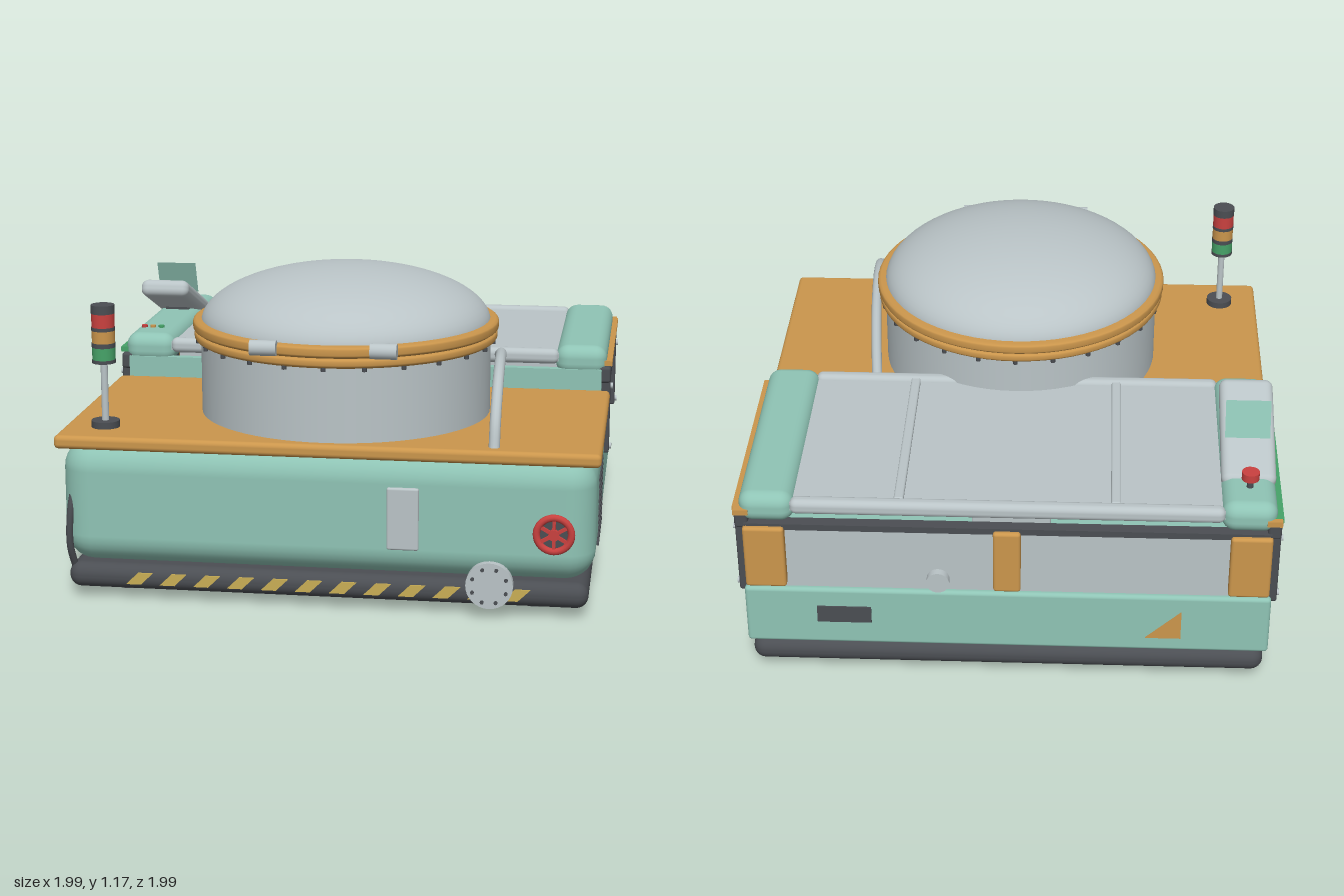
import * as THREE from 'three';
import { RoundedBoxGeometry } from 'three/addons/geometries/RoundedBoxGeometry.js';

export function createModel() {
  const root = new THREE.Group();
  root.name = 'processingMachine';
  const mat = (name, color, side = THREE.FrontSide) => {
    const m = new THREE.MeshStandardMaterial({ color, side });
    m.name = name;
    return m;
  };
  const teal = mat('teal', 0x8fc4b5, THREE.DoubleSide);
  const orange = mat('orange', 0xcb964c);
  const silver = mat('silver', 0xbac4c7);
  const dark = mat('darkGrey', 0x4b4e53);
  const red = mat('red', 0xc9413f);
  const green = mat('green', 0x46a368);
  const yellow = mat('yellow', 0xc9ae55);

  const add = (name, geo, material, x = 0, y = 0, z = 0, parent = root) => {
    const m = new THREE.Mesh(geo, material);
    m.name = name;
    m.position.set(x, y, z);
    parent.add(m);
    return m;
  };
  // Box given by its minimum and maximum corners, rounded if r > 0
  const box = (name, material, [x0, x1], [y0, y1], [z0, z1], r = 0) => {
    const s = [x1 - x0, y1 - y0, z1 - z0];
    const geo = r ? new RoundedBoxGeometry(...s, 4, r) : new THREE.BoxGeometry(...s);
    return add(name, geo, material, (x0 + x1) / 2, (y0 + y1) / 2, (z0 + z1) / 2);
  };
  const cyl = (name, material, r, h, x, y, z, axis = 'y', seg = 24) => {
    const geo = new THREE.CylinderGeometry(r, r, h, seg);
    if (axis === 'x') geo.rotateZ(Math.PI / 2);
    if (axis === 'z') geo.rotateX(Math.PI / 2);
    return add(name, geo, material, x, y, z);
  };
  const tube = (name, material, points, r) => add(name, new THREE.TubeGeometry(
    new THREE.CatmullRomCurve3(points.map(p => new THREE.Vector3(...p))), 48, r, 12), material);

  // Base and feet
  box('base', dark, [-0.95, 0.95], [0.035, 0.13], [-0.97, 0.95], 0.045);
  for (const x of [-0.757, 0.757])
    for (const z of [-0.785, 0.75]) cyl('foot', dark, 0.067, 0.04, x, 0.02, z);

  // Front housing with its worktop
  box('frontHousing', teal, [-0.97, 0.97], [0.13, 0.59], [-0.015, 0.96], 0.11);
  box('worktop', orange, [-0.985, 0.985], [0.565, 0.615], [-0.035, 0.965], 0.018);

  // Hazard stripes along the front of the base
  for (let i = 0; i < 12; i++) {
    const x = -0.73 + i * 0.125;
    const s = new THREE.Shape([[0, 0], [0.055, 0], [0.1, 0.044], [0.045, 0.044]].map(p => new THREE.Vector2(...p)));
    add('hazardStripe', new THREE.ExtrudeGeometry(s, { depth: 0.006, bevelEnabled: false }), yellow, x, 0.062, 0.947);
  }

  // Front fittings: access plate, handwheel, flange
  box('accessPlate', silver, [0.23, 0.345], [0.24, 0.47], [0.95, 0.972], 0.008);
  const wheel = new THREE.Group();
  wheel.name = 'handwheel';
  wheel.position.set(0.825, 0.32, 0.965);
  root.add(wheel);
  add('wheelRim', new THREE.TorusGeometry(0.062, 0.013, 10, 32), red, 0, 0, 0, wheel);
  add('wheelHub', new THREE.CylinderGeometry(0.02, 0.02, 0.03, 16).rotateX(Math.PI / 2), red, 0, 0, 0, wheel);
  add('wheelBack', new THREE.CylinderGeometry(0.055, 0.055, 0.02, 24).rotateX(Math.PI / 2), dark, 0, 0, -0.014, wheel);
  for (let i = 0; i < 3; i++)
    add('wheelSpoke', new THREE.BoxGeometry(0.12, 0.012, 0.012), red, 0, 0, 0.002, wheel).rotation.z = i * Math.PI / 3 + Math.PI / 6;
  cyl('flangeGasket', yellow, 0.078, 0.02, 0.6, 0.125, 0.945, 'z', 32);
  cyl('flange', silver, 0.085, 0.032, 0.6, 0.125, 0.967, 'z', 32);
  for (let i = 0; i < 8; i++) {
    const a = i * Math.PI / 4 + 0.39;
    cyl('flangeBolt', dark, 0.007, 0.008, 0.6 + 0.065 * Math.cos(a), 0.125 + 0.065 * Math.sin(a), 0.986, 'z', 8);
  }
  tube('drainCable', dark, [[-0.93, 0.1, 0.9], [-0.94, 0.2, 0.935], [-0.935, 0.33, 0.935], [-0.925, 0.43, 0.9]], 0.013);

  // Side louvres
  for (const s of [-1, 1])
    for (let i = 0; i < 10; i++)
      add('louvre', new THREE.BoxGeometry(0.014, 0.009, 0.35), dark, s * 0.968, 0.195 + i * 0.027, 0.475);

  // Drum, clamp ring and domed cover
  const cz = 0.383;
  cyl('drum', silver, 0.545, 0.31, 0, 0.755, cz, 'y', 64);
  const ring = (y0, y1, r) => {
    const c = 0.012;
    const p = [[0.52, y0], [r - c, y0], [r - 0.003, y0 + c / 2], [r, y0 + c], [r, y1 - c], [r - 0.003, y1 - c / 2], [r - c, y1], [0.52, y1]];
    add('clampRing', new THREE.LatheGeometry(p.map(q => new THREE.Vector2(...q)), 64), orange, 0, 0, cz);
  };
  ring(0.89, 0.927, 0.57);
  ring(0.927, 0.97, 0.575);
  add('domeCover', new THREE.SphereGeometry(0.545, 64, 20, 0, Math.PI * 2, 0, Math.PI / 2).scale(1, 0.395, 1), silver, 0, 0.95, cz);
  for (let i = 0; i < 24; i++) {
    const a = i * Math.PI / 12;
    cyl('ringBolt', dark, 0.009, 0.014, 0.556 * Math.cos(a), 0.885, cz + 0.556 * Math.sin(a), 'y', 8);
  }
  for (const x of [-0.215, 0.215]) cyl('coverHinge', silver, 0.028, 0.095, x, 0.957, 0.938, 'x');

  // Feed pipe from the worktop to the rear unit
  tube('feedPipe', silver, [[0.605, 0.6, 0.905], [0.605, 0.7, 0.865], [0.603, 0.81, 0.74], [0.597, 0.85, 0.58],
    [0.585, 0.835, 0.36], [0.565, 0.785, 0.12], [0.545, 0.735, -0.08]], 0.02);

  // Signal tower
  const tower = [['towerBase', dark, 0.052, 0.61, 0.64], ['towerPole', silver, 0.013, 0.63, 0.86], ['towerGreen', green, 0.042, 0.865, 0.915],
    ['towerSeat', dark, 0.043, 0.855, 0.868], ['towerBand', dark, 0.043, 0.913, 0.93], ['towerOrange', orange, 0.042, 0.93, 0.977],
    ['towerBand', dark, 0.043, 0.975, 0.988], ['towerRed', red, 0.042, 0.987, 1.04], ['towerCap', dark, 0.043, 1.038, 1.07]];
  for (const [n, m, r, y0, y1] of tower) cyl(n, m, r, y1 - y0, -0.83, (y0 + y1) / 2, 0.8);

  // Rear unit: lower housing, front wall, back panels and posts
  box('rearHousing', teal, [-0.965, 0.965], [0.13, 0.375], [-0.965, -0.05], 0.015);
  box('frontWall', teal, [-0.95, 0.95], [0.37, 0.69], [-0.085, -0.05]);
  box('backPanel', silver, [-0.94, 0.94], [0.37, 0.645], [-0.945, -0.92]);
  box('backRail', dark, [-0.95, 0.95], [0.635, 0.66], [-0.96, -0.915]);
  for (const x of [-0.88, 0, 0.88])
    box('backPost', orange, [x - (x ? 0.075 : 0.05), x + (x ? 0.075 : 0.05)], [0.39, 0.65], [-0.978, -0.93], 0.012);
  cyl('backKnob', dark, 0.022, 0.05, 0.25, 0.44, -0.955, 'z');
  cyl('backKnobCap', silver, 0.042, 0.03, 0.25, 0.44, -0.983, 'z');
  box('backLabel', dark, [0.5, 0.7], [0.23, 0.3], [-0.97, -0.962]);
  const tri = new THREE.Shape([[-0.065, 0], [0.065, 0], [-0.065, 0.12]].map(p => new THREE.Vector2(...p)));
  add('warningTriangle', new THREE.ExtrudeGeometry(tri, { depth: 0.006, bevelEnabled: false }), orange, -0.575, 0.19, -0.97);

  // Tunnel ends, mirrored: portal frame, curtain strips, trim and end cap
  for (const s of [-1, 1]) {
    const span = (a, b) => (s > 0 ? [a, b] : [-b, -a]);
    box('endCap', teal, span(0.768, 0.968), [0.66, 0.78], [-0.965, -0.052], 0.05);
    box('endTrim', s > 0 ? orange : green, span(0.95, 0.99), [0.702, 0.722], [-0.945, -0.075]);
    box('endTrimBack', orange, span(0.93, 0.985), [0.7, 0.722], [-0.968, -0.945]);
    box('portalBeam', dark, span(0.935, 0.985), [0.635, 0.7], [-0.955, -0.06], 0.012);
    for (const z of [-0.095, -0.915]) {
      box('portalPillar', dark, span(0.945, 0.985), [0.35, 0.66], [z - 0.027, z + 0.027], 0.008);
      for (const y of [0.375, 0.62]) cyl('pillarBolt', silver, 0.012, 0.012, s * 0.988, y, z, 'x', 10);
    }
    for (const z of [-0.155, -0.86]) box('guideSensor', yellow, span(0.93, 0.945), [0.375, 0.42], [z - 0.007, z + 0.007]);
    for (let i = 0; i < 9; i++) {
      const z = -0.165 - i * 0.0855;
      box('curtainStrip', dark, span(0.958, 0.966), [0.515, 0.64], [z - 0.039, z + 0.039]);
    }
  }

  // Scanner block inside the tunnel
  box('scannerBlock', silver, [-0.15, 0.15], [0.37, 0.485], [-0.58, -0.43], 0.008);
  for (const z of [-0.46, -0.545]) {
    box('scannerLamp', red, [-0.14, 0.14], [0.483, 0.515], [z - 0.018, z + 0.018]);
    box('scannerStem', dark, [-0.02, 0.02], [0.515, 0.72], [z - 0.015, z + 0.015]);
  }

  // Lid with edge rails and ribs
  box('lid', silver, [-0.78, 0.78], [0.715, 0.748], [-0.95, -0.07]);
  for (const z of [-0.083, -0.942]) box('lidRail', silver, [-0.78, 0.78], [0.705, 0.765], [z - 0.028, z + 0.028], 0.024);
  for (const x of [-0.39, 0.39]) box('lidRib', silver, [x - 0.018, x + 0.018], [0.74, 0.762], [-0.925, -0.1], 0.008);

  // Operator console on the right end cap
  const desk = add('consoleDesk', new RoundedBoxGeometry(0.2, 0.07, 0.47, 4, 0.03), silver, -0.87, 0.835, -0.56);
  desk.rotation.x = -0.37;
  box('consoleMount', dark, [-0.92, -0.82], [0.75, 0.81], [-0.68, -0.58]);
  const screen = add('consoleScreen', new THREE.PlaneGeometry(0.165, 0.14), teal, -0.868, 0.917, -0.595);
  screen.rotation.x = 0.36;
  cyl('stopStem', dark, 0.012, 0.05, -0.87, 0.795, -0.83);
  cyl('stopButton', red, 0.032, 0.03, -0.87, 0.83, -0.83);
  [red, orange, green].forEach((m, i) => cyl('consoleButton', m, 0.012, 0.014, -0.92 + i * 0.035, 0.782, -0.2, 'y', 12));

  return root;
}
